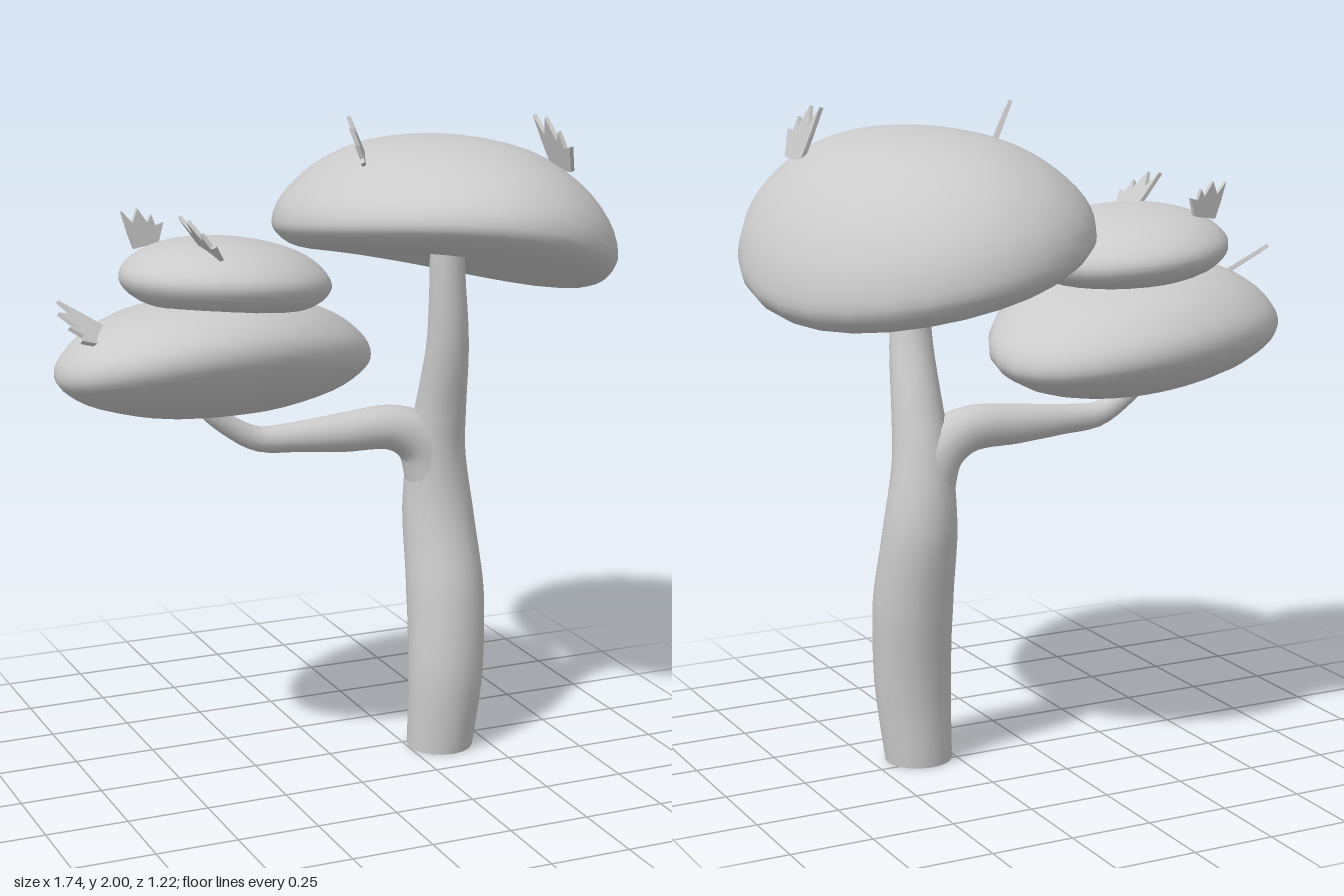
import * as THREE from 'three';
import { mergeVertices } from 'three/addons/utils/BufferGeometryUtils.js';

const grey = new THREE.MeshStandardMaterial({ color: 0xcccccc, side: THREE.DoubleSide });

// Weld seams so the normals run smoothly all round
function smooth(geo) {
  geo.deleteAttribute('uv');
  geo.deleteAttribute('normal');
  const g = mergeVertices(geo, 1e-4);
  g.computeVertexNormals();
  return g;
}

function add(group, name, geo) {
  const mesh = new THREE.Mesh(geo, grey);
  mesh.name = name;
  group.add(mesh);
  return mesh;
}

// Lopsided mushroom cap: a lathed lens, stretched, skewed, tilted and drooping along x
function cap({ center, rx, rz, profile, tiltX, tiltZ, droop = 0, skew = 0, swellX = 0, swellZ = 0 }) {
  const spline = new THREE.SplineCurve(profile.map(([r, h]) => new THREE.Vector2(r, h)));
  const pts = spline.getPoints(28).map(p => new THREE.Vector2(Math.min(1, Math.max(0, p.x)), p.y));
  const geo = new THREE.LatheGeometry(pts, 28);
  const pos = geo.attributes.position;
  for (let i = 0; i < pos.count; i++) {
    const z = pos.getZ(i) * rz;
    const x = pos.getX(i) * rx + skew * z;
    const y = pos.getY(i) * (1 + swellX * x + swellZ * z) + tiltX * x + tiltZ * z - droop * x * x;
    pos.setXYZ(i, center[0] + x, center[1] + y, center[2] + z);
  }
  return smooth(geo);
}

// Tapered tube through rows of [x, y, z, radius]
function limb(rows, segments, sides) {
  const curve = new THREE.CatmullRomCurve3(rows.map(r => new THREE.Vector3(r[0], r[1], r[2])));
  const geo = new THREE.TubeGeometry(curve, segments, 1, sides);
  const pos = geo.attributes.position;
  const v = new THREE.Vector3();
  for (let i = 0; i < pos.count; i++) {
    const ring = Math.floor(i / (sides + 1));
    const t = curve.getUtoTmapping(ring / segments) * (rows.length - 1);
    const k = Math.min(Math.floor(t), rows.length - 2);
    const radius = THREE.MathUtils.lerp(rows[k][3], rows[k + 1][3], t - k);
    const p = curve.getPointAt(ring / segments);
    v.fromBufferAttribute(pos, i).sub(p).multiplyScalar(radius).add(p);
    // level foot for limbs that start on the ground
    if (rows[0][1] === 0 && ring === 0) v.y = 0;
    pos.setXYZ(i, v.x, Math.max(0, v.y), v.z);
  }
  return smooth(geo);
}

// Thin jagged sprout, narrow at the base with uneven teeth
const sproutShape = new THREE.Shape([
  [-0.06, 0], [0.06, 0], [0.075, 0.08], [0.085, 0.17], [0.045, 0.11],
  [0.01, 0.165], [-0.025, 0.095], [-0.05, 0.125], [-0.06, 0.075], [-0.1, 0.08],
].map(([x, y]) => new THREE.Vector2(x, y)));

function sprout(group, name, base, up, across, scale) {
  const geo = new THREE.ExtrudeGeometry(sproutShape, { depth: 0.012, bevelEnabled: false });
  geo.translate(0, 0, -0.006);
  const mesh = add(group, name, geo);
  const y = new THREE.Vector3(...up).normalize();
  const z = new THREE.Vector3(...across).cross(y).normalize();
  const x = y.clone().cross(z);
  mesh.quaternion.setFromRotationMatrix(new THREE.Matrix4().makeBasis(x, y, z));
  mesh.position.set(...base);
  mesh.scale.set(scale, scale, 1);
}

export function createModel() {
  const group = new THREE.Group();
  group.name = 'mushroomCluster';

  // Stem and side branch
  add(group, 'stem', limb([
    [0.355, 0, 0.05, 0.103], [0.37, 0.25, 0.055, 0.118], [0.38, 0.5, 0.025, 0.122],
    [0.373, 0.75, -0.02, 0.111], [0.362, 0.95, -0.012, 0.09], [0.362, 1.1, 0.02, 0.077],
    [0.355, 1.3, 0.075, 0.064], [0.34, 1.5, 0.1, 0.054], [0.335, 1.6, 0.105, 0.052],
  ], 40, 18));
  add(group, 'branch', limb([
    [0.36, 0.85, -0.02, 0.09], [0.32, 0.97, -0.02, 0.085], [0.22, 1.028, -0.02, 0.07],
    [0.05, 1.03, -0.02, 0.06], [-0.1, 1.03, -0.025, 0.046], [-0.22, 1.035, -0.03, 0.038],
    [-0.3, 1.075, -0.03, 0.033], [-0.38, 1.14, -0.03, 0.03], [-0.42, 1.2, -0.03, 0.025],
  ], 32, 14));

  // Caps
  add(group, 'largeCap', cap({
    center: [0.37, 1.64, 0], rx: 0.5, rz: 0.61, tiltX: -0.18, tiltZ: 0.13,
    droop: 0.2, swellX: 0.5, swellZ: -0.3,
    profile: [[0, -0.075], [0.35, -0.085], [0.65, -0.1], [0.86, -0.085], [0.97, -0.04],
      [1, 0.01], [0.95, 0.09], [0.8, 0.175], [0.55, 0.245], [0.25, 0.275], [0, 0.28]],
  }));
  add(group, 'lowerCap', cap({
    center: [-0.35, 1.335, -0.035], rx: 0.5, rz: 0.4, tiltX: -0.03, tiltZ: 0.12,
    droop: 0.22, skew: -0.33,
    profile: [[0, -0.22], [0.4, -0.195], [0.75, -0.13], [0.95, -0.055], [1, 0],
      [0.94, 0.055], [0.75, 0.11], [0.45, 0.14], [0, 0.15]],
  }));
  add(group, 'upperCap', cap({
    center: [-0.333, 1.535, 0], rx: 0.312, rz: 0.31, tiltX: -0.08, tiltZ: 0.05, droop: 0.1,
    profile: [[0, -0.1], [0.5, -0.09], [0.85, -0.055], [1, 0], [0.93, 0.05],
      [0.7, 0.095], [0.35, 0.12], [0, 0.125]],
  }));

  // Jagged sprouts on top of the caps
  sprout(group, 'sproutLeftSlope', [0.655, 1.83, 0.225], [-0.055, 0.17, -0.01], [0, 0, -1], 1);
  sprout(group, 'sproutCrest', [0.095, 1.845, 0.06], [-0.075, 0.14, 0.03], [0.25, 0.2, -0.7], 0.85);
  sprout(group, 'sproutUpperBack', [-0.535, 1.63, -0.12], [-0.02, 0.13, -0.01], [-1, 0, 0.15], 0.68);
  sprout(group, 'sproutUpperFront', [-0.415, 1.62, 0.16], [-0.09, 0.13, 0], [0, 0, -1], 0.9);
  sprout(group, 'sproutLower', [-0.735, 1.415, 0.09], [-0.12, 0.065, -0.02], [0.06, 0.03, -0.12], 0.9);

  return group;
}
